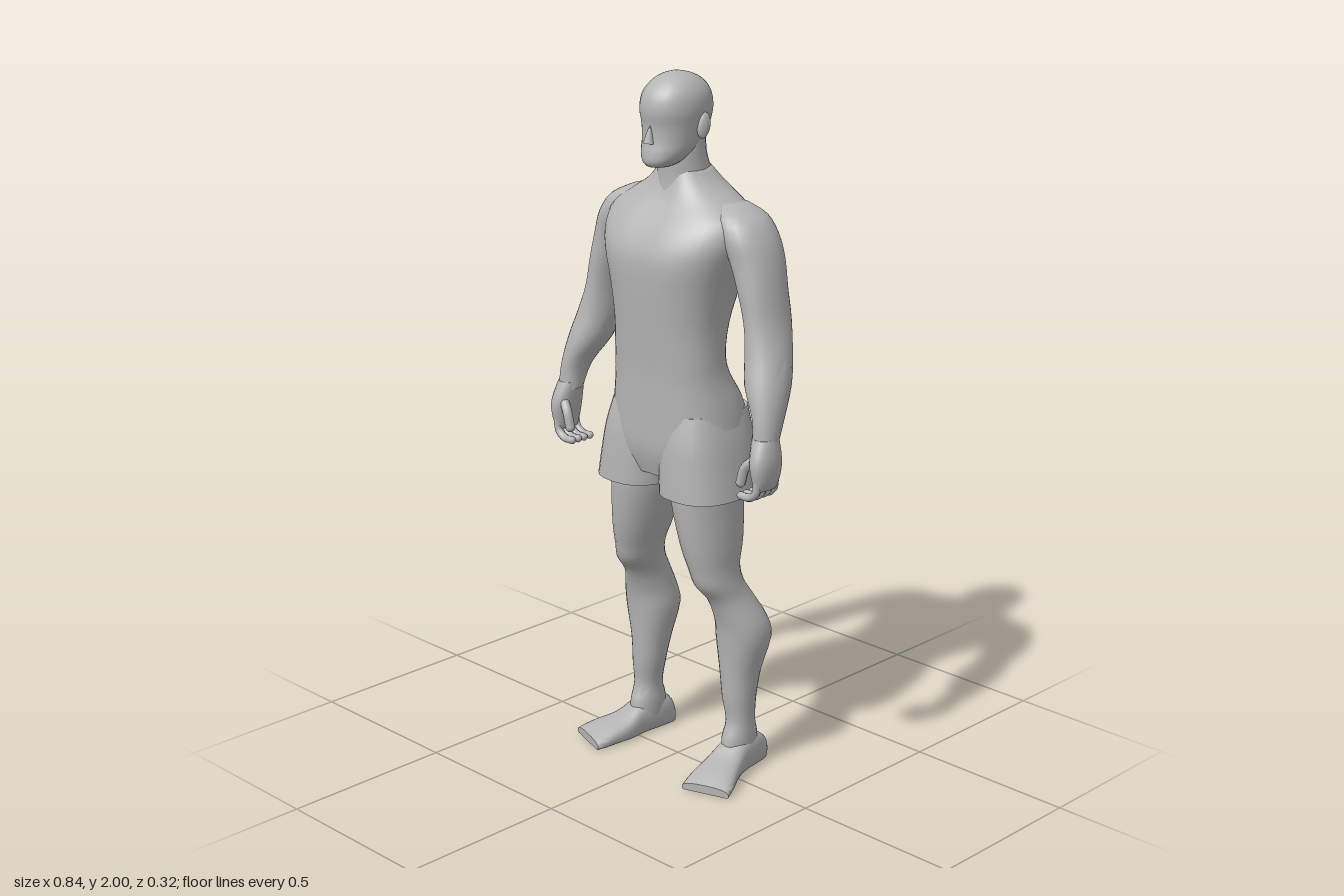
import * as THREE from 'three';
import { toCreasedNormals } from 'three/addons/utils/BufferGeometryUtils.js';

const skin = new THREE.MeshStandardMaterial({ color: 0xb4b4b4 });
skin.name = 'plain grey';

// Loft through rows [y, centreX, halfWidth, frontZ, backZ], smoothed by a spline.
// power: squareness of the section, groove: dent along the middle line.
function loft(rows, { side = 1, power = 2, groove = 0, sides = 24, steps = 3, maxZ = Infinity } = {}) {
  const count = (rows.length - 1) * steps + 1;
  const sample = (col, i) => {
    const r = Math.min(Math.floor(i / steps), rows.length - 2);
    const t = i / steps - r;
    const at = (k) => rows[Math.max(0, Math.min(rows.length - 1, k))][col];
    const a = at(r), b = at(r + 1), m = (b - at(r - 1)) / 2, n = (at(r + 2) - a) / 2;
    const d = a - b;
    return a + m * t + (-3 * d - 2 * m - n) * t * t + (2 * d + m + n) * t * t * t;
  };
  const curve = (v) => Math.sign(v) * Math.pow(Math.abs(v), 2 / power);
  const pos = [], index = [];
  for (let i = 0; i < count; i++) {
    const [y, cx, hx, zf, zb] = [0, 1, 2, 3, 4].map((c) => sample(c, i));
    for (let k = 0; k < sides; k++) {
      const a = (k / sides) * Math.PI * 2;
      const dx = curve(Math.cos(a)) * hx;
      const dent = 1 - groove * Math.exp(-((dx / 0.035) ** 2));
      const z = (zf + zb) / 2 + curve(Math.sin(a)) * ((zf - zb) / 2) * dent;
      pos.push(cx * side + dx, y, Math.min(z, maxZ));
    }
  }
  for (let i = 0; i < count - 1; i++) {
    for (let k = 0; k < sides; k++) {
      const n = (k + 1) % sides;
      const a = i * sides + k, b = i * sides + n, c = b + sides, d = a + sides;
      index.push(a, d, b, b, d, c);
    }
  }
  // End caps
  const cap = (row, base, flip) => {
    const centre = pos.length / 3;
    pos.push(row[1] * side, row[0], Math.min((row[3] + row[4]) / 2, maxZ));
    for (let k = 0; k < sides; k++) {
      const a = base + k, b = base + ((k + 1) % sides);
      index.push(centre, flip ? b : a, flip ? a : b);
    }
  };
  cap(rows[0], 0, false);
  cap(rows[rows.length - 1], (count - 1) * sides, true);
  const g = new THREE.BufferGeometry();
  g.setAttribute('position', new THREE.Float32BufferAttribute(pos, 3));
  g.setIndex(index);
  return toCreasedNormals(g, 1);
}

const TORSO = [
  [0.89, 0, 0.13, 0.115, -0.1], [0.96, 0, 0.205, 0.135, -0.138], [1.05, 0, 0.2, 0.138, -0.152],
  [1.11, 0, 0.191, 0.138, -0.137], [1.17, 0, 0.178, 0.138, -0.1], [1.23, 0, 0.172, 0.141, -0.08],
  [1.32, 0, 0.171, 0.148, -0.098], [1.42, 0, 0.188, 0.156, -0.132], [1.51, 0, 0.215, 0.158, -0.15],
  [1.57, 0, 0.235, 0.135, -0.16], [1.62, 0, 0.23, 0.1, -0.155], [1.66, 0, 0.175, 0.07, -0.138],
  [1.7, 0, 0.11, 0.052, -0.12], [1.74, 0, 0.07, 0.04, -0.095],
];
const NECK = [
  [1.66, 0, 0.085, 0.055, -0.11], [1.72, 0, 0.075, 0.05, -0.102],
  [1.78, 0, 0.07, 0.052, -0.08], [1.85, 0, 0.068, 0.045, -0.075],
];
const HEAD = [
  [1.752, 0, 0.03, 0.105, 0.035], [1.765, 0, 0.05, 0.115, 0.0], [1.79, 0, 0.066, 0.114, -0.04],
  [1.82, 0, 0.074, 0.107, -0.07], [1.86, 0, 0.081, 0.106, -0.09], [1.9, 0, 0.087, 0.112, -0.1],
  [1.94, 0, 0.083, 0.104, -0.095], [1.97, 0, 0.066, 0.08, -0.075], [1.99, 0, 0.04, 0.048, -0.042],
  [2.0, 0, 0.006, 0.012, 0.0],
];
const SHORTS_LEG = [
  [0.845, 0.122, 0.118, 0.141, -0.136], [0.92, 0.114, 0.113, 0.138, -0.138],
  [1.0, 0.108, 0.104, 0.132, -0.142], [1.08, 0.1, 0.09, 0.115, -0.135],
];
const LEG = [
  [0.05, 0.187, 0.04, 0.0, -0.12], [0.1, 0.187, 0.041, -0.003, -0.122], [0.15, 0.188, 0.038, -0.02, -0.11],
  [0.22, 0.183, 0.046, -0.013, -0.115], [0.3, 0.18, 0.056, -0.01, -0.132], [0.4, 0.182, 0.077, -0.003, -0.16],
  [0.46, 0.181, 0.072, 0.006, -0.148], [0.53, 0.167, 0.055, 0.032, -0.112], [0.58, 0.156, 0.055, 0.073, -0.085],
  [0.63, 0.147, 0.058, 0.088, -0.08], [0.7, 0.136, 0.07, 0.105, -0.1], [0.83, 0.119, 0.083, 0.12, -0.115],
  [0.92, 0.119, 0.083, 0.118, -0.11],
];
// Runs along the foot from heel to toe, later laid flat
const FOOT = [
  [-0.1, 0.035, 0.022, 0.01, -0.05], [-0.085, 0.033, 0.034, 0.01, -0.08], [-0.04, 0.022, 0.042, 0.01, -0.105],
  [0.02, 0.01, 0.045, 0.01, -0.1], [0.08, 0, 0.056, 0.01, -0.066], [0.15, 0, 0.069, 0.01, -0.045],
  [0.195, 0, 0.073, 0.01, -0.025],
];
const ARM = [
  [1.05, 0.38, 0.033, 0.09, 0.018], [1.12, 0.374, 0.037, 0.085, -0.015], [1.2, 0.345, 0.057, 0.075, -0.062],
  [1.28, 0.325, 0.056, 0.055, -0.088], [1.36, 0.306, 0.05, 0.045, -0.108], [1.44, 0.286, 0.055, 0.045, -0.112],
  [1.52, 0.26, 0.064, 0.045, -0.122], [1.58, 0.232, 0.07, 0.05, -0.125], [1.63, 0.2, 0.065, 0.038, -0.115],
  [1.66, 0.17, 0.035, 0.0, -0.085],
];
const PALM = [
  [0.93, 0.39, 0.016, 0.1, 0.025], [0.96, 0.392, 0.025, 0.108, 0.016],
  [1.01, 0.39, 0.032, 0.113, 0.01], [1.07, 0.38, 0.032, 0.09, 0.015],
];

export function createModel() {
  const model = new THREE.Group();
  model.name = 'figure';
  const add = (name, geometry, parent = model) => {
    const mesh = new THREE.Mesh(geometry, skin);
    mesh.name = name;
    parent.add(mesh);
    return mesh;
  };
  const digit = (name, points, radius) => {
    const path = new THREE.CatmullRomCurve3(points.map((p) => new THREE.Vector3(...p)));
    add(name, new THREE.TubeGeometry(path, 8, radius, 8));
    const tip = add(name + 'Tip', new THREE.SphereGeometry(radius, 8, 6));
    tip.position.set(...points[points.length - 1]);
  };

  add('torso', loft(TORSO, { power: 2.4, groove: 0.07, sides: 40 }));
  add('neck', loft(NECK));
  add('head', loft(HEAD, { power: 2.15 }));

  // Nose: a slim wedge with its tip low
  const nose = add('nose', new THREE.ConeGeometry(0.016, 0.06, 8));
  nose.position.set(0, 1.846, 0.106);
  nose.rotation.x = -0.12;

  for (const side of [1, -1]) {
    const label = side > 0 ? 'left' : 'right';

    const ear = add(label + 'Ear', new THREE.SphereGeometry(1, 12, 8));
    ear.scale.set(0.011, 0.036, 0.02);
    ear.position.set(side * 0.085, 1.86, -0.012);
    ear.rotation.set(-0.2, side * -0.3, 0);

    add(label + 'ShortsLeg', loft(SHORTS_LEG, { side, power: 2.5 }));
    add(label + 'Leg', loft(LEG, { side, power: 2.1 }));
    add(label + 'Arm', loft(ARM, { side, power: 2.1 }));
    add(label + 'Palm', loft(PALM, { side, power: 2.4, sides: 16 }));

    // Foot turned outwards
    const foot = add(label + 'Foot', loft(FOOT, { side, power: 2.6, maxZ: 0 }).rotateX(Math.PI / 2));
    foot.position.set(side * 0.178, 0, -0.05);
    foot.rotation.y = side * 0.33;

    // Curled fingers and thumb
    for (let i = 0; i < 4; i++) {
      const z = 0.027 + i * 0.023;
      digit(label + 'Finger' + (i + 1), [
        [side * 0.392, 0.96, z], [side * 0.388, 0.925, z], [side * 0.365, 0.907, z], [side * 0.333, 0.906, z],
      ], 0.0115);
    }
    digit(label + 'Thumb', [
      [side * 0.38, 1.02, 0.085], [side * 0.35, 0.99, 0.098], [side * 0.336, 0.945, 0.1],
    ], 0.014);
  }
  return model;
}
